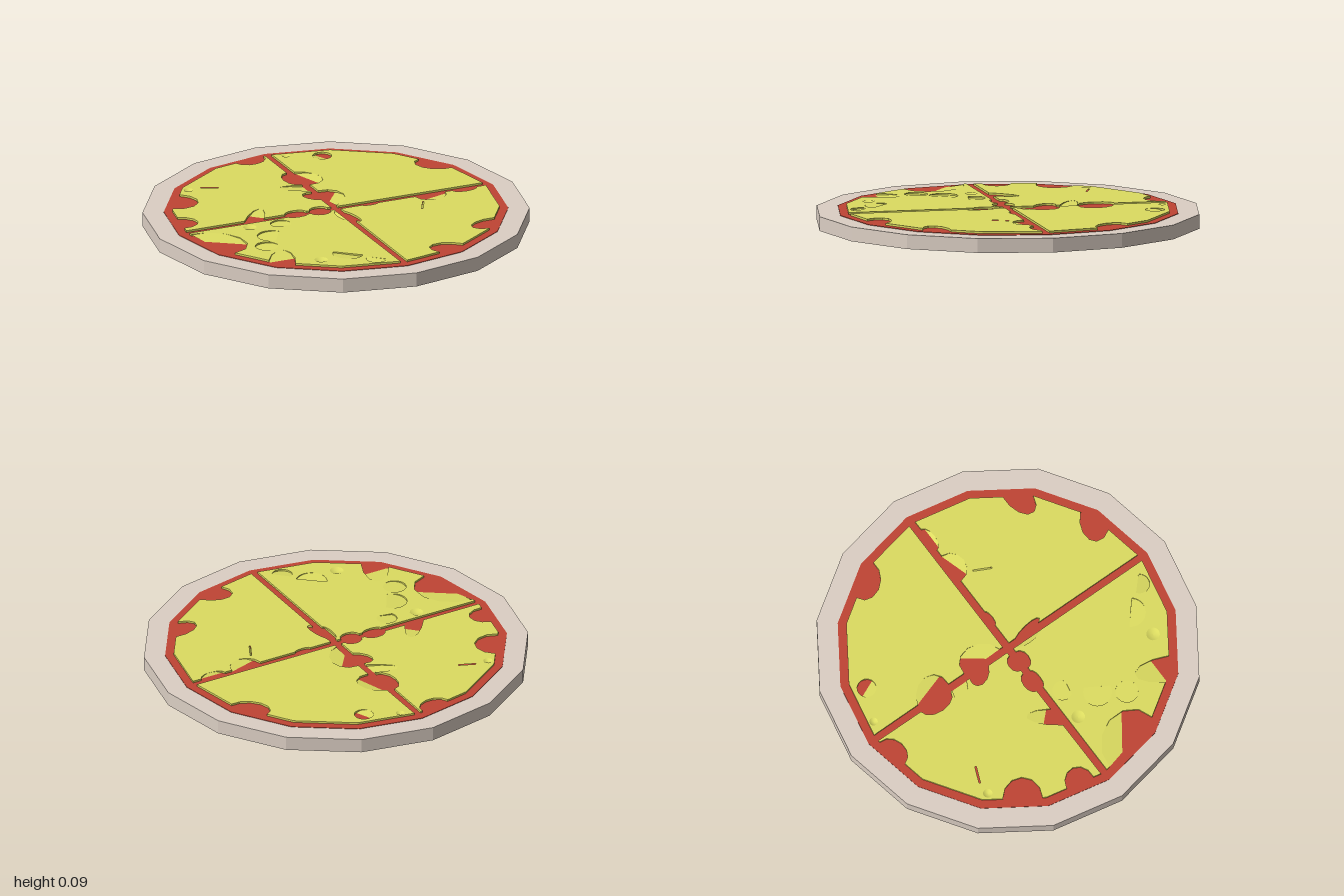
import * as THREE from 'three';

const CRUST_TOP = 0.075, SAUCE_TOP = 0.0775, TOP = 0.088, GAP = 0.02, RIM = 0.845;
const rad = THREE.MathUtils.degToRad;
const material = (color, extra) => new THREE.MeshStandardMaterial({ color, ...extra });
const crustMat = material(0xdccfc4, { flatShading: true });
const sauceMat = material(0xc04434, { flatShading: true });
const cheeseMat = material(0xdcdc60, { flatShading: true });
const dimpleMat = material(0xdcdc60, { side: THREE.DoubleSide });

function add(parent, name, geometry, mat, x = 0, y = 0, z = 0) {
  const mesh = new THREE.Mesh(geometry, mat);
  mesh.name = name;
  mesh.position.set(x, y, z);
  parent.add(mesh);
}

// Slice edges, in a quarter plane (u, v) later mirrored to all four quarters
const uEdge = t => new THREE.Vector2(t, GAP);
const vEdge = t => new THREE.Vector2(GAP, t);
const rimEdge = deg => {
  const r = RIM * Math.cos(rad(11.25)) / Math.cos(rad((deg % 22.5) - 11.25));
  return new THREE.Vector2(r * Math.cos(rad(deg)), r * Math.sin(rad(deg)));
};

// Rounded bite of height h between two places on an edge, its peak leaning along it;
// with a depth, it gets a floor that slopes down towards the given angle
function bite(edge, t0, t1, h, lean = 0, angle = 0, depth = 0) {
  const p0 = edge(t0), p1 = edge(t1), chord = p1.clone().sub(p0);
  const inward = new THREE.Vector2(-chord.y, chord.x).normalize();
  const pts = Array.from({ length: 7 }, (_, i) => {
    const a = Math.PI * i / 6, s = Math.sin(a);
    return p0.clone().addScaledVector(chord, 0.5 - 0.5 * Math.cos(a) + lean * s).addScaledVector(inward, h * s);
  });
  return { edge, t0, t1, pts, angle, depth };
}

// Inner opening: a disc, or a disc cut by a chord when the sweep is partial
function dent(u, v, r, start, sweep, angle, depth) {
  const pts = Array.from({ length: 16 }, (_, i) => {
    const a = rad(start + sweep * i / (sweep < 360 ? 15 : 16));
    return new THREE.Vector2(u + r * Math.cos(a), v + r * Math.sin(a));
  });
  return { pts, angle, depth };
}

// Thin straight cut
function slit(u0, v0, u1, v1, angle = 0, depth = 0) {
  const a = new THREE.Vector2(u0, v0), b = new THREE.Vector2(u1, v1);
  const side = new THREE.Vector2(v0 - v1, u1 - u0).setLength(0.004);
  return { pts: [a.clone().sub(side), b.clone().sub(side), b.clone().add(side), a.clone().add(side)], angle, depth };
}

// One quarter of cheese; sx and sz choose the quarter
function cheeseSlice(name, sx, sz, bites, holes, dimples) {
  const slice = new THREE.Group();
  slice.name = name;
  const world = pts => pts.map(p => new THREE.Vector2(sx * p.x, -sz * p.y));
  const on = edge => bites.filter(b => b.edge === edge);

  // Outline: out along u, round the rim, back along v
  const corners = [1.3, 22.5, 45, 67.5, 88.7]
    .filter(t => !on(rimEdge).some(b => t > b.t0 && t < b.t1))
    .map(t => ({ t0: t, pts: [rimEdge(t)] }));
  const rim = [...corners, ...on(rimEdge)].sort((a, b) => a.t0 - b.t0);
  const walk = [...on(uEdge), ...rim, ...on(vEdge)].flatMap(b => b.pts);
  const shape = new THREE.Shape(world([uEdge(GAP), ...walk]));
  const bowls = dimples.map(([u, v, r]) => dent(u, v, r, 0, 360, 0, 0));
  for (const h of [...holes, ...bowls]) shape.holes.push(new THREE.Path(world(h.pts)));
  const sheet = new THREE.ExtrudeGeometry(shape, { depth: TOP - SAUCE_TOP, bevelEnabled: false });
  add(slice, 'cheese', sheet.rotateX(-Math.PI / 2), cheeseMat, 0, SAUCE_TOP);

  // Tilted floors whose deep side sinks beneath the sauce
  for (const { pts, angle, depth } of [...bites, ...holes].filter(d => d.depth)) {
    const floor = new THREE.ShapeGeometry(new THREE.Shape(world(pts))).rotateX(-Math.PI / 2);
    const p = floor.attributes.position;
    const along = Array.from({ length: p.count }, (_, i) =>
      sx * p.getX(i) * Math.cos(rad(angle)) + sz * p.getZ(i) * Math.sin(rad(angle)));
    const low = Math.min(...along), span = Math.max(...along) - low;
    along.forEach((d, i) => p.setY(i, TOP - depth * (d - low) / span));
    floor.computeVertexNormals();
    add(slice, 'dentFloor', floor, cheeseMat);
  }

  // Shallow round bowls
  for (const [u, v, r] of dimples) {
    const profile = [0, 0.35, 0.7, 1].map(t => new THREE.Vector2(r * t, -0.009 * (1 - t * t)));
    add(slice, 'dimple', new THREE.LatheGeometry(profile, 16), dimpleMat, sx * u, TOP, sz * v);
  }
  return slice;
}

export function createModel() {
  const model = new THREE.Group();

  // Sixteen-sided base with a thin sauce layer
  add(model, 'crust', new THREE.CylinderGeometry(1, 1, CRUST_TOP, 16), crustMat, 0, CRUST_TOP / 2);
  add(model, 'sauce', new THREE.CylinderGeometry(0.89, 0.89, 0.02, 16), sauceMat, 0, SAUCE_TOP - 0.01);

  model.add(cheeseSlice('backLeftCheese', 1, -1, [
    bite(rimEdge, 20, 34.5, 0.085, 0.1),
    bite(vEdge, 0.56, 0.365, 0.1, 0.1, 198, 0.022),
    bite(vEdge, 0.265, 0.04, 0.1, -0.08, 143, 0.022),
  ], [dent(0.25, 0.72, 0.05, 0, 360, 24, 0.022)], [[0.08, 0.8, 0.022]]));

  model.add(cheeseSlice('backRightCheese', -1, -1, [
    bite(uEdge, 0.04, 0.14, 0.036),
    bite(uEdge, 0.16, 0.28, 0.036),
    bite(uEdge, 0.4, 0.51, 0.13, -0.77, -45, 0.022),
    bite(rimEdge, 4.1, 14.6, 0.09),
    bite(rimEdge, 23.8, 37.9, 0.115),
    bite(rimEdge, 76, 88, 0.07),
    bite(vEdge, 0.57, 0.38, 0.06),
    bite(vEdge, 0.37, 0.28, 0.13, -0.6, 180, 0.01),
    bite(vEdge, 0.26, 0.14, 0.065, -0.2),
  ], [slit(0.515, 0.555, 0.43, 0.52)], [[0.585, 0.555, 0.024]]));

  model.add(cheeseSlice('frontRightCheese', -1, 1, [
    bite(uEdge, 0.04, 0.15, 0.04),
    bite(uEdge, 0.17, 0.28, 0.02),
    bite(rimEdge, 2.7, 26.9, 0.16, 0.07, 55, 0.026),
    bite(rimEdge, 41, 51, 0.164, -0.3, 90, 0.019),
    bite(vEdge, 0.18, 0.04, 0.022, 0, 0, 0.01),
  ], [
    dent(0.355, 0.09, 0.053, 130, 260, 328, 0.008),
    dent(0.47, 0.23, 0.075, 214, 229, 328, 0.009),
    dent(0.555, 0.355, 0.06, 0, 360, 325, 0.01),
    dent(0.215, 0.625, 0.08, -40, 178, 217, 0.009),
    dent(0.115, 0.755, 0.053, -55, 204, 53, 0.01),
  ], [[0.52, 0.07, 0.035], [0.38, 0.65, 0.035]]));

  model.add(cheeseSlice('frontLeftCheese', 1, 1, [
    bite(uEdge, 0.14, 0.23, 0.015),
    bite(uEdge, 0.44, 0.61, 0.08, 0, 253, 0.02),
    bite(uEdge, 0.65, 0.79, 0.035, 0, 270, 0.02),
    bite(rimEdge, 34.2, 44.9, 0.1, 0.3),
    bite(rimEdge, 62.8, 74.6, 0.1, 0.2),
    bite(vEdge, 0.21, 0.06, 0.03, -0.35),
  ], [slit(0.403, 0.192, 0.449, 0.102, 207, 0.008)], []));
  return model;
}
